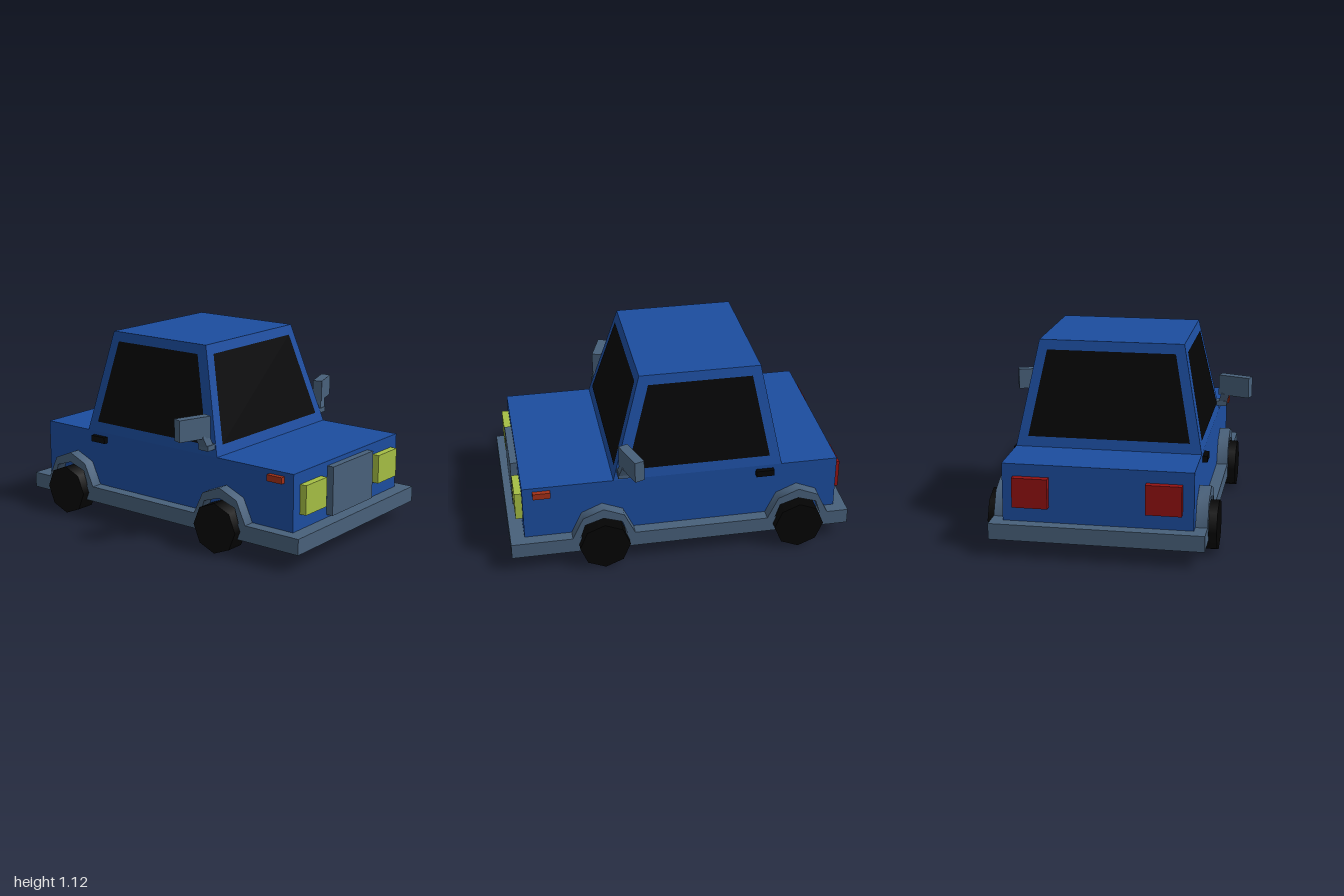
import * as THREE from 'three';
import { toCreasedNormals } from 'three/addons/utils/BufferGeometryUtils.js';

const flat = (color, side = THREE.FrontSide) =>
  new THREE.MeshStandardMaterial({ color, flatShading: true, side });
const smooth = (color) => new THREE.MeshStandardMaterial({ color });

export function createModel() {
  const car = new THREE.Group();
  car.name = 'car';
  const blue = flat(0x1c4d9f), slate = flat(0x48607a), black = flat(0x040404);
  const yellow = flat(0xa5be44), red = flat(0x931212), orange = flat(0xa23018);
  const glass = flat(0x040405, THREE.DoubleSide);
  const tyre = smooth(0x040404), trim = smooth(0x48607a);

  const add = (name, geometry, material, parent = car) => {
    const mesh = new THREE.Mesh(geometry, material);
    mesh.name = name;
    parent.add(mesh);
    return mesh;
  };
  // Box given by its limits on each axis
  const box = (name, material, [x0, x1], [y0, y1], [z0, z1]) => {
    const g = new THREE.BoxGeometry(x1 - x0, y1 - y0, z1 - z0);
    g.translate((x0 + x1) / 2, (y0 + y1) / 2, (z0 + z1) / 2);
    return add(name, g, material);
  };
  // Box limits on the +z side, mirrored for side -1
  const span = (side, a, b) => (side > 0 ? [a, b] : [-b, -a]);

  // Lower body, its floor sunk a little into the bumper frame
  box('body', blue, [-0.93, 0.917], [0.14, 0.52], [-0.532, 0.532]);

  // Bumper frame running all around the body, open underneath
  const rect = (T, x0, x1, z) => new T([[x0, -z], [x1, -z], [x1, z], [x0, z]]
    .map(([x, y]) => new THREE.Vector2(x, y)));
  const frame = rect(THREE.Shape, -1, 1, 0.6);
  frame.holes.push(rect(THREE.Path, -0.93, 0.917, 0.532));
  const frameGeo = new THREE.ExtrudeGeometry(frame, { depth: 0.092, bevelEnabled: false });
  frameGeo.rotateX(-Math.PI / 2).translate(0, 0.098, 0);
  add('bumperFrame', frameGeo, slate);

  // Cabin: a box whose walls lean inwards towards the roof
  const lean = (y) => (y - 0.52) / 0.6;
  const frontX = (y) => 0.393 - 0.173 * lean(y);
  const rearX = (y) => -0.597 + 0.117 * lean(y);
  const halfZ = (y) => 0.532 - 0.118 * lean(y);
  const cabinGeo = new THREE.BoxGeometry(2, 0.6, 2).translate(0, 0.82, 0);
  const p = cabinGeo.attributes.position;
  for (let i = 0; i < p.count; i++) {
    const y = p.getY(i);
    p.setXYZ(i, p.getX(i) > 0 ? frontX(y) : rearX(y), y, Math.sign(p.getZ(i)) * halfZ(y));
  }
  add('cabin', cabinGeo, blue);

  // Window panes lying just proud of the cabin walls
  const pane = (name, corners) => {
    const g = new THREE.BufferGeometry();
    g.setAttribute('position', new THREE.Float32BufferAttribute(corners.flat(), 3));
    g.setIndex([0, 1, 2, 0, 2, 3]);
    g.computeVertexNormals();
    add(name, g, glass);
  };
  const low = 0.578, high = 1.065, gap = 0.003;
  for (const [name, wall, out] of [['windshield', frontX, gap], ['rearWindow', rearX, -gap]]) {
    pane(name, [[low, 1], [low, -1], [high, -1], [high, 1]]
      .map(([y, s]) => [wall(y) + out, y, s * (halfZ(y) - 0.057)]));
  }

  // Faceted wheel arch, relative to the wheel centre on the ground
  const arch = new THREE.Shape([
    [0.185, 0.15], [0.182, 0.19], [0.12, 0.322], [0, 0.373],
    [-0.12, 0.322], [-0.182, 0.19], [-0.185, 0.15],
    [-0.15, 0.15], [-0.108, 0.277], [0, 0.313], [0.108, 0.277], [0.15, 0.15],
  ].map(([x, y]) => new THREE.Vector2(x, y)));
  const archGeo = toCreasedNormals(
    new THREE.ExtrudeGeometry(arch, { depth: 0.067, bevelEnabled: false }), 1);
  const wheelGeo = new THREE.CylinderGeometry(0.147, 0.147, 0.112, 8).rotateX(Math.PI / 2);

  for (const side of [1, -1]) {
    const label = side > 0 ? 'left' : 'right';
    pane(label + 'SideWindow',
      [[rearX, low, 0.06], [frontX, low, -0.067], [frontX, high, -0.065], [rearX, high, 0.06]]
        .map(([wall, y, inset]) => [wall(y) + inset, y, side * (halfZ(y) + gap)]));

    // Wheels and arches
    for (const [end, x] of [['Rear', -0.69], ['Front', 0.462]]) {
      add(label + end + 'Wheel', wheelGeo, tyre).position.set(x, 0.147, side * 0.59);
      add(label + end + 'Arch', archGeo, trim).position.set(x, 0, side > 0 ? 0.533 : -0.6);
    }

    // Lamps and door handles
    const lampZ = span(side, 0.27, 0.47);
    box(label + 'Headlight', yellow, [0.9, 0.958], [0.28, 0.45], lampZ);
    box(label + 'TailLight', red, [-0.97, -0.92], [0.28, 0.45], lampZ);
    box(label + 'Indicator', orange, [0.757, 0.858], [0.46, 0.497], span(side, 0.52, 0.56));
    box(label + 'DoorHandle', black, [-0.548, -0.443], [0.46, 0.497], span(side, 0.52, 0.56));

    // Wing mirror: slanted head on a short foot
    const mirror = new THREE.Group();
    mirror.name = label + 'Mirror';
    const head = add('mirrorHead', new THREE.BoxGeometry(0.057, 0.125, 0.2), slate, mirror);
    head.position.set(0.304, 0.6965, side * 0.638);
    head.rotation.y = -side * 0.33;
    const foot = add('mirrorFoot', new THREE.BoxGeometry(0.066, 0.03, 0.07), slate, mirror);
    foot.position.set(0.338, 0.577, side * 0.55);
    const stalk = add('mirrorStalk', new THREE.BoxGeometry(0.057, 0.07, 0.05), slate, mirror);
    stalk.position.set(0.332, 0.612, side * 0.568);
    stalk.rotation.set(side * 0.3, 0, 0.25);
    car.add(mirror);
  }

  // Grille
  box('grille', slate, [0.9, 0.958], [0.208, 0.493], [-0.207, 0.207]);

  return car;
}
